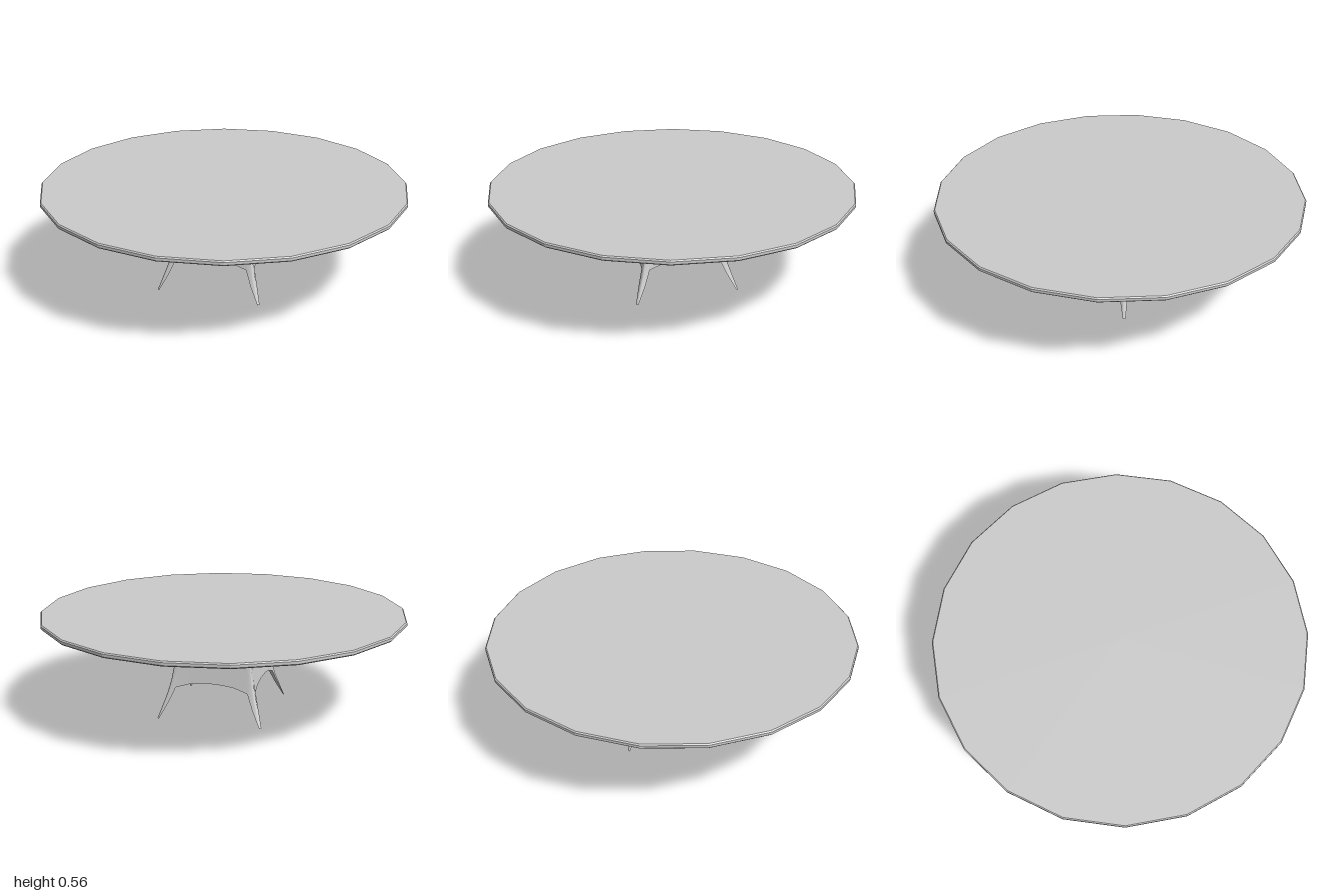
import * as THREE from 'three';

const material = new THREE.MeshStandardMaterial({ color: 0xcccccc });
const flatMaterial = new THREE.MeshStandardMaterial({ color: 0xcccccc, flatShading: true });

const TOP = 0.54;
const ROWS = 9;

// Half width of the square pedestal at each height
const FLARE = [[0, 0.293], [0.09, 0.263], [0.17, 0.237], [0.34, 0.208], [TOP, 0.204]];
function halfWidth(y) {
  let i = 0;
  while (i < FLARE.length - 2 && y > FLARE[i + 1][0]) i++;
  const [[y0, w0], [y1, w1]] = [FLARE[i], FLARE[i + 1]];
  return w0 + (w1 - w0) * (y - y0) / (y1 - y0);
}

// Lower edge of half a side: [fraction of half width, height], from centre to leg tip
const ARCH = [[0, 0.205], [0.26, 0.203], [0.53, 0.195], [0.85, 0.17], [0.895, 0.09], [0.965, 0], [1, 0]];
const SIDE = [
  ...ARCH.slice(1).reverse().map(([s, y]) => [-s, y]),
  ...ARCH.slice(0, -1),
];

// Point on side k (quarter turns about y); corners are eased inwards a little
function sidePoint(k, s, y) {
  const w = halfWidth(y);
  const ease = Math.abs(s) === 1 ? 0.985 : 1;
  return new THREE.Vector3(s * w * ease, y, w * ease).applyAxisAngle(new THREE.Vector3(0, 1, 0), k * Math.PI / 2);
}

function indexedGeometry(points, index) {
  const geometry = new THREE.BufferGeometry().setFromPoints(points);
  geometry.setIndex(index);
  geometry.computeVertexNormals();
  return geometry;
}

// Four flared walls running down into the legs
function wallGeometry() {
  const points = [], index = [];
  const columns = SIDE.length * 4;
  for (let k = 0; k < 4; k++) {
    for (const [s, bottom] of SIDE) {
      for (let r = 0; r < ROWS; r++) {
        points.push(sidePoint(k, s, TOP + (bottom - TOP) * r / (ROWS - 1)));
      }
    }
  }
  for (let c = 0; c < columns; c++) {
    const a = c * ROWS, b = ((c + 1) % columns) * ROWS;
    for (let r = 0; r < ROWS - 1; r++) {
      index.push(a + r, a + r + 1, b + r, b + r, a + r + 1, b + r + 1);
    }
  }
  return indexedGeometry(points, index);
}

// Vaulted underside: a fan between the four arches
function vaultGeometry() {
  const points = [new THREE.Vector3(0, 0.207, 0)], index = [];
  const arch = SIDE.filter(([s]) => Math.abs(s) <= 0.85);
  for (let k = 0; k < 4; k++) {
    for (const [s, y] of arch) points.push(sidePoint(k, s, y));
  }
  const count = points.length - 1;
  for (let i = 0; i < count; i++) index.push(0, 1 + (i + 1) % count, 1 + i);
  return indexedGeometry(points, index);
}

// Inner face of one leg, bridging the edges of two neighbouring sides
function legInnerGeometry(k) {
  const points = [], index = [];
  const edge = ARCH.slice(3);
  for (const [s, y] of edge) {
    points.push(sidePoint(k, s, y), sidePoint(k + 1, -s, y));
  }
  for (let i = 0; i < edge.length - 1; i++) {
    const a = i * 2;
    index.push(a, a + 1, a + 2, a + 1, a + 3, a + 2);
  }
  return indexedGeometry(points, index);
}

export function createModel() {
  const model = new THREE.Group();
  model.name = 'roundTable';
  const add = (name, geometry, mat, parent = model) => {
    const mesh = new THREE.Mesh(geometry, mat);
    mesh.name = name;
    parent.add(mesh);
  };

  // Twenty-sided top with a slightly eased rim
  const rim = [[0, 0.538], [0.994, 0.538], [1, 0.544], [1, 0.558], [0.994, 0.564], [0, 0.564]];
  add('tableTop', new THREE.LatheGeometry(rim.map(([x, y]) => new THREE.Vector2(x, y)), 20), flatMaterial);

  // Pedestal with four splayed legs
  const pedestal = new THREE.Group();
  pedestal.name = 'pedestal';
  model.add(pedestal);
  add('pedestalWalls', wallGeometry(), material, pedestal);
  const underside = material.clone();
  underside.side = THREE.DoubleSide;
  add('pedestalVault', vaultGeometry(), underside, pedestal);
  for (let k = 0; k < 4; k++) add('legInnerFace', legInnerGeometry(k), underside, pedestal);

  return model;
}
